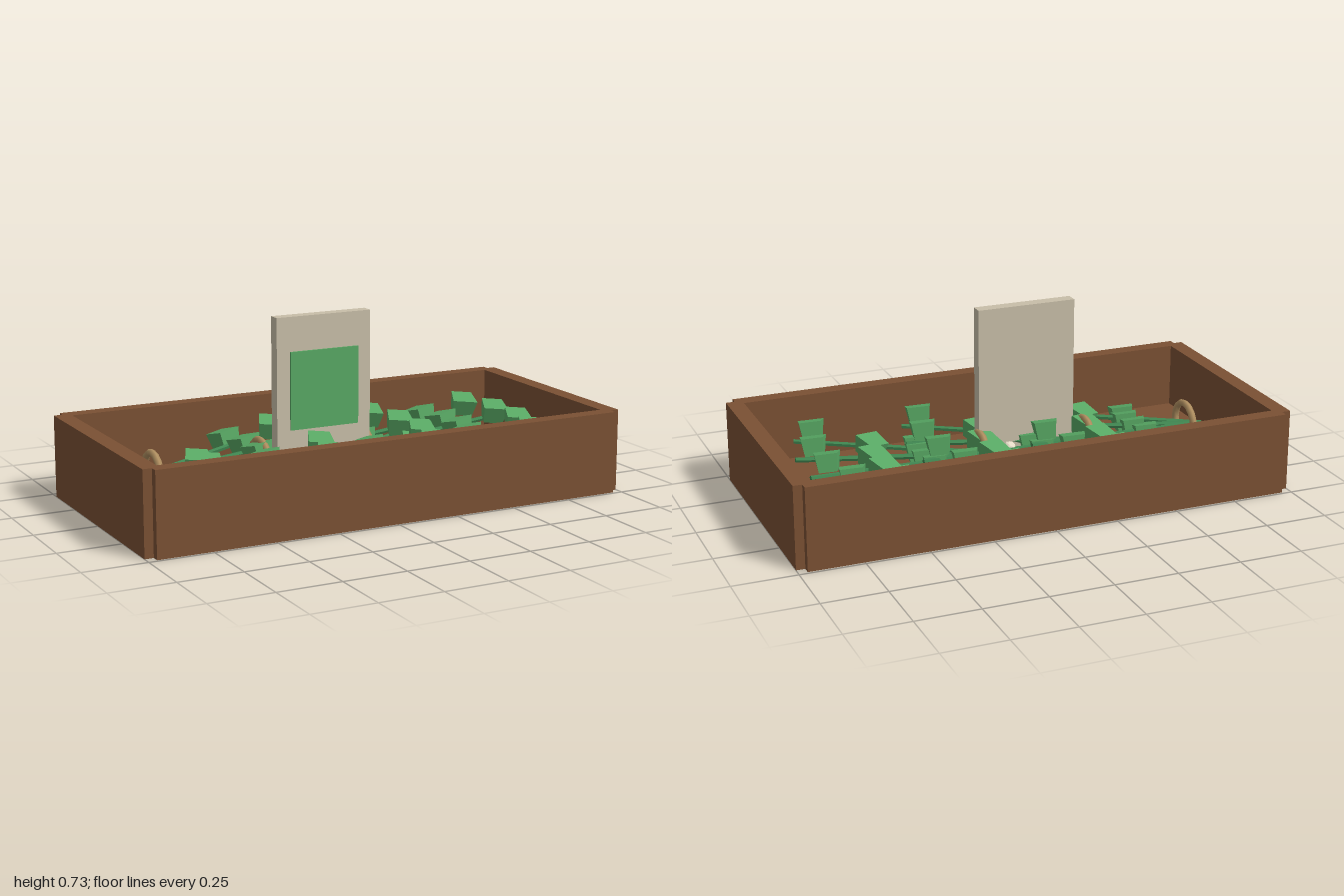
import * as THREE from 'three';

const mat = (name, color, flatShading = false) => {
  const m = new THREE.MeshStandardMaterial({ color, flatShading });
  m.name = name;
  return m;
};

export function createModel() {
  const wood = mat('brown wood', 0x7a5033);
  const board = mat('pale board', 0xc8bea8);
  const green = mat('leaf green', 0x58a864, true);
  const stemGreen = mat('stem green', 0x3f8550, true);
  const twine = mat('tan twine', 0xb08f60);
  const cream = mat('cream', 0xe6dcc8, true);

  const root = new THREE.Group();
  root.name = 'herbTray';

  const add = (parent, name, geometry, material, x, y, z) => {
    const mesh = new THREE.Mesh(geometry, material);
    mesh.name = name;
    mesh.position.set(x, y, z);
    parent.add(mesh);
    return mesh;
  };
  // Box given by its minimum and maximum corners
  const box = (name, material, a, b) => add(root, name,
    new THREE.BoxGeometry(b[0] - a[0], b[1] - a[1], b[2] - a[2]), material,
    (a[0] + b[0]) / 2, (a[1] + b[1]) / 2, (a[2] + b[2]) / 2);

  // Tray: floor, long walls and slightly inset end walls
  box('trayFloor', wood, [-0.965, 0, -0.46], [0.965, 0.065, 0.46]);
  for (const s of [-1, 1]) {
    add(root, 'longWall', new THREE.BoxGeometry(1.93, 0.325, 0.06), wood, 0, 0.1625, s * 0.46);
    add(root, 'endWall', new THREE.BoxGeometry(0.065, 0.325, 0.92), wood, s * 0.9675, 0.1625, 0);
  }

  // Upright sign with a thin green panel on its face
  box('signBoard', board, [-0.285, 0, 0], [0.115, 0.73, 0.048]);
  box('signPanel', green, [-0.23, 0.29, 0.048], [0.06, 0.595, 0.056]);

  // Leaf: chunky four-sided block, narrower below and at one end
  const leafGeometry = new THREE.CylinderGeometry(0.066, 0.052, 0.07, 4).rotateY(Math.PI / 4);
  const p = leafGeometry.attributes.position;
  for (let i = 0; i < p.count; i++) p.setX(i, p.getX(i) * (1 + p.getZ(i) * 2));
  leafGeometry.computeVertexNormals();

  // Leaves along each stem: distance, height, side
  const leafRows = [
    [0.3, 0.17, 1],
    [0.51, 0.2, -1],
    [0.71, 0.235, 1],
  ];
  const up = new THREE.Vector3(0, 1, 0);
  const ringGeometry = new THREE.TorusGeometry(0.08, 0.014, 6, 16).rotateY(Math.PI / 2);

  // Three tied bundles, each with four fanned stems
  for (const ox of [-0.84, -0.395, 0.05]) {
    const bundle = new THREE.Group();
    bundle.name = 'herbBundle';
    bundle.position.set(ox, 0, -0.035);
    root.add(bundle);

    for (let i = 0; i < 4; i++) {
      const angle = (i - 1.5) * 0.25;
      const c = Math.cos(angle), s = Math.sin(angle);
      const start = new THREE.Vector3(0, 0.15, 0);
      const end = new THREE.Vector3(c * 0.795, 0.205, s * 0.795);
      const dir = end.clone().sub(start);
      const mid = start.clone().add(end).multiplyScalar(0.5);
      const stem = add(bundle, 'stem', new THREE.CylinderGeometry(0.01, 0.012, dir.length(), 6),
        stemGreen, mid.x, mid.y, mid.z);
      stem.quaternion.setFromUnitVectors(up, dir.normalize());

      for (const [d, y, side] of leafRows) {
        const leaf = add(bundle, 'leaf', leafGeometry, green, c * d, y, s * d + side * 0.052);
        leaf.rotation.set(side * 0.25, -side * 0.33, -side * 0.1, 'YXZ');
      }
    }
    add(bundle, 'twineRing', ringGeometry, twine, 0.075, 0.165, 0);
  }

  // Scattered buds
  const budGeometry = new THREE.IcosahedronGeometry(0.026, 1);
  for (const [x, z] of [[-0.02, -0.215], [0.015, -0.065], [0.125, -0.205], [0.07, 0.2], [-0.125, 0.22]])
    add(root, 'bud', budGeometry, cream, x, 0.18, z);

  return root;
}
